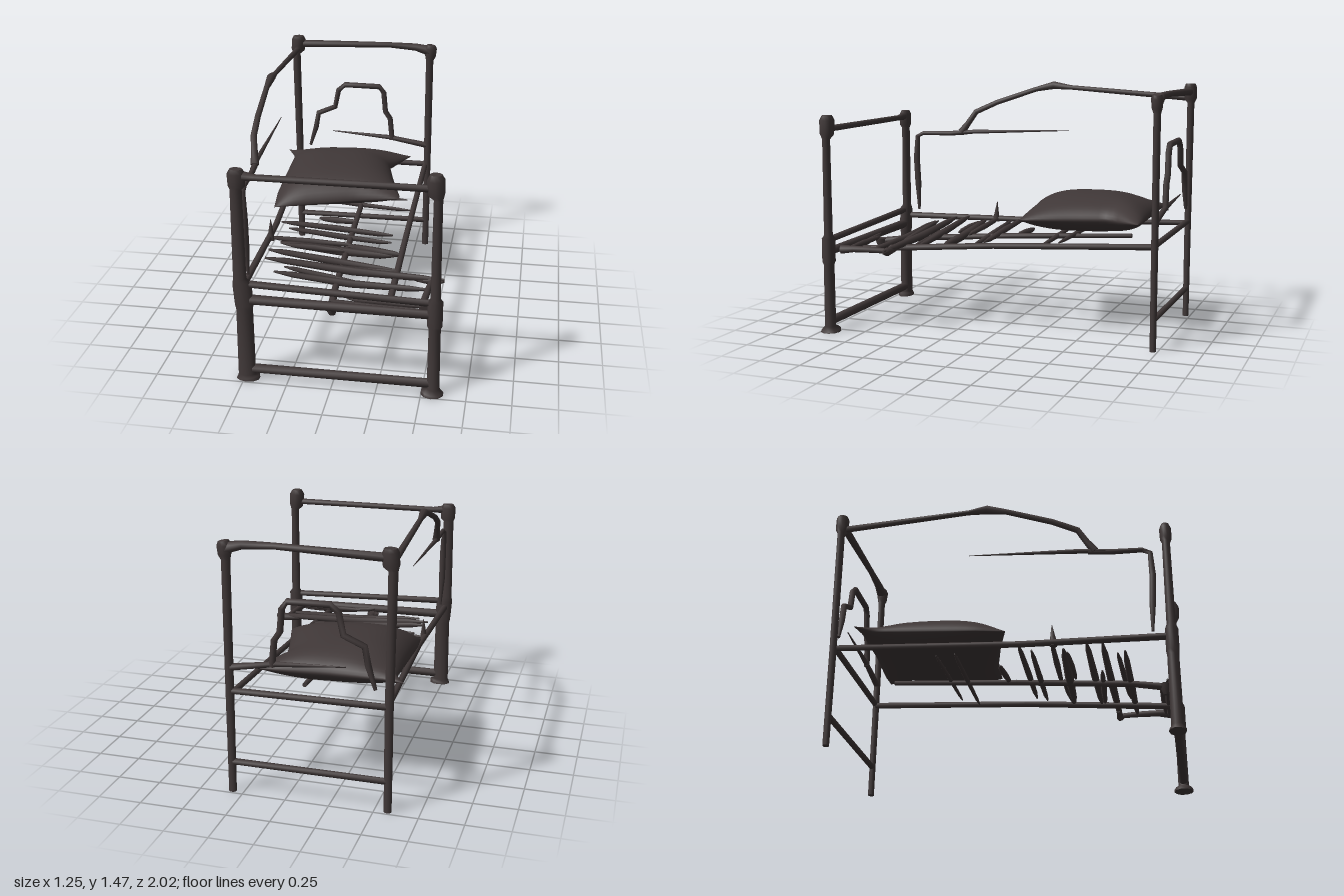
import * as THREE from 'three';
import { mergeVertices } from 'three/addons/utils/BufferGeometryUtils.js';

const iron = new THREE.MeshStandardMaterial({ color: 0x403838 });
iron.name = 'darkIron';
iron.side = THREE.DoubleSide;

const X = new THREE.Vector3(1, 0, 0), Y = new THREE.Vector3(0, 1, 0), Z = new THREE.Vector3(0, 0, 1);

// Bar swept through points [x, y, z, radius]; ref is a direction across the bar
function rod(group, name, pts, ref = Y, sides = 8) {
  const pos = [], idx = [], P = pts.map(p => new THREE.Vector3(p[0], p[1], p[2]));
  const ring = (i) => {
    const a = P[Math.max(i - 1, 0)], b = P[Math.min(i + 1, P.length - 1)];
    const t = b.clone().sub(a).normalize();
    const n = ref.clone().addScaledVector(t, -ref.dot(t)).normalize();
    const s = t.clone().cross(n);
    for (let j = 0; j < sides; j++) {
      const q = (j + 0.5) / sides * Math.PI * 2;
      const v = P[i].clone().addScaledVector(n, Math.cos(q) * pts[i][3]).addScaledVector(s, Math.sin(q) * pts[i][3]);
      pos.push(v.x, v.y, v.z);
    }
  };
  P.forEach((_, i) => ring(i));
  for (let i = 0; i < P.length - 1; i++) for (let j = 0; j < sides; j++) {
    const a = i * sides + j, b = i * sides + (j + 1) % sides;
    idx.push(a, b, a + sides, b, b + sides, a + sides);
  }
  // flat end caps
  for (const end of [0, P.length - 1]) {
    const base = pos.length / 3;
    ring(end);
    for (let j = 1; j < sides - 1; j++) {
      if (end) idx.push(base, base + j, base + j + 1);
      else idx.push(base, base + j + 1, base + j);
    }
  }
  const g = new THREE.BufferGeometry();
  g.setAttribute('position', new THREE.Float32BufferAttribute(pos, 3));
  g.setIndex(idx);
  g.computeVertexNormals();
  const m = new THREE.Mesh(g, iron);
  m.name = name;
  group.add(m);
  return m;
}

// Upright post from [y, radius, x offset] steps, with an oval section of the given depth ratio
function post(group, name, x, z, depth, steps) {
  const m = rod(group, name, steps.map(([y, r, dx = 0]) => [x + dx, y, 0, r]), X, 10);
  m.scale.z = depth;
  m.position.z = z;
}

// Height of the sagging bed base between its two side rails
function bedY(x, z) {
  const a = 0.56 + (0.9 - z) * 0.02, b = 0.47 + (0.9 - z) * 0.07;
  return THREE.MathUtils.lerp(a, b, THREE.MathUtils.clamp((x + 0.5) / 0.8, 0, 0.8));
}

// Piecewise-linear lookup through [key, value] pairs
function along(table, k) {
  for (let i = 1; i < table.length; i++) {
    const [k0, v0] = table[i - 1], [k1, v1] = table[i];
    if (k <= k1) return v0 + (v1 - v0) * (k - k0) / (k1 - k0);
  }
  return table[table.length - 1][1];
}

// Pillow: two bulging sheets joined at a pinched four-cornered outline
function pillow(group) {
  const left = [[0, -0.625], [0.12, -0.56], [0.8, -0.55], [1, -0.53]];
  const right = [[0, 0.22], [0.28, 0.1], [0.6, 0.155], [0.95, 0.228], [1, 0.225]];
  const back = [[0, -0.845], [0.12, -0.82], [0.5, -0.825], [0.85, -0.85], [1, -0.85]];
  const front = [[0, 0.02], [0.3, -0.045], [0.65, -0.105], [1, -0.13]];
  const N = 24, pos = [], idx = [];
  const swell = s => Math.pow(1 - Math.pow(Math.abs(s), 2.8), 0.62);
  for (const side of [1, -1]) {
    const base = pos.length / 3;
    for (let i = 0; i <= N; i++) for (let j = 0; j <= N; j++) {
      // rows and columns crowd towards the rim
      const s = Math.sin((j / N - 0.5) * Math.PI), t = Math.sin((i / N - 0.5) * Math.PI);
      const u = (s + 1) / 2, v = (t + 1) / 2;
      const x = THREE.MathUtils.lerp(along(left, v), along(right, v), u);
      const z = THREE.MathUtils.lerp(along(back, u), along(front, u), v);
      const rim = 0.7 - 0.055 * v * (1 - 0.8 * u);
      pos.push(x, THREE.MathUtils.lerp(rim, side > 0 ? 0.82 : 0.593, swell(s) * swell(t)), z);
    }
    for (let i = 0; i < N; i++) for (let j = 0; j < N; j++) {
      const a = base + i * (N + 1) + j, b = a + 1, c = a + N + 1, d = c + 1;
      if (side > 0) idx.push(a, c, b, b, c, d);
      else idx.push(a, b, c, b, d, c);
    }
  }
  const sheets = new THREE.BufferGeometry();
  sheets.setAttribute('position', new THREE.Float32BufferAttribute(pos, 3));
  sheets.setIndex(idx);
  const g = mergeVertices(sheets, 1e-5);
  g.computeVertexNormals();
  const m = new THREE.Mesh(g, iron);
  m.name = 'pillow';
  group.add(m);
}

export function createModel() {
  const bed = new THREE.Group();
  bed.name = 'brokenIronBed';

  // Foot end posts, with feet, collars and knobs
  post(bed, 'footPostRight', -0.485, 0.948, 0.7, [[0, 0.068, 0.005], [0.015, 0.066, 0.005], [0.03, 0.05],
    [0.44, 0.047], [0.47, 0.053], [0.6, 0.053, -0.01], [0.625, 0.037, -0.02], [1.15, 0.033, -0.02],
    [1.17, 0.047, -0.015], [1.24, 0.05, -0.015], [1.265, 0.035, -0.015]]);
  post(bed, 'footPostLeft', 0.565, 0.948, 0.9, [[0, 0.065, -0.005], [0.015, 0.063, -0.005], [0.035, 0.036],
    [0.41, 0.034], [0.43, 0.043], [0.57, 0.043], [0.59, 0.028], [1.16, 0.025],
    [1.19, 0.045, -0.01], [1.27, 0.049, -0.015], [1.3, 0.032, -0.015]]);

  // Head end posts
  post(bed, 'headPostRight', -0.575, -0.972, 0.85, [[0, 0.022], [0.6, 0.024], [1.35, 0.026, -0.01],
    [1.38, 0.045, 0], [1.45, 0.045, 0.005], [1.47, 0.035, 0.005]]);
  post(bed, 'headPostLeft', 0.315, -0.972, 0.85, [[0, 0.022], [0.6, 0.024], [1.34, 0.025],
    [1.37, 0.036, 0.005], [1.42, 0.042, 0.005], [1.445, 0.03, 0.01]]);

  // Foot end rails
  rod(bed, 'footTopRail', [[-0.5, 1.23, 0.948, 0.03], [-0.4, 1.222, 0.948, 0.018], [0.56, 1.22, 0.948, 0.019]]);
  rod(bed, 'footUpperRail', [[-0.5, 0.595, 0.948, 0.02], [0.56, 0.56, 0.948, 0.019]]);
  rod(bed, 'footMiddleRail', [[-0.5, 0.5, 0.948, 0.028], [0.56, 0.49, 0.948, 0.024]]);
  rod(bed, 'footBottomRail', [[-0.48, 0.065, 0.948, 0.026], [0.56, 0.065, 0.948, 0.026]]);

  // Head end rails
  rod(bed, 'headTopRail', [[-0.57, 1.42, -0.972, 0.024], [0.05, 1.435, -0.972, 0.018],
    [0.22, 1.428, -0.972, 0.024], [0.32, 1.405, -0.972, 0.034]]);
  rod(bed, 'headMiddleRail', [[-0.57, 0.61, -0.972, 0.018], [0.315, 0.605, -0.972, 0.018]]);
  rod(bed, 'headBottomRail', [[-0.57, 0.18, -0.972, 0.018], [0.315, 0.182, -0.972, 0.018]]);
  rod(bed, 'headBrokenRail', [[-0.34, 0.81, -0.972, 0.003], [0.05, 0.785, -0.972, 0.015], [0.32, 0.74, -0.972, 0.02]]);

  // Bent wire loop in the headboard
  rod(bed, 'headBentLoop', [[-0.5, 0.7], [-0.46, 0.83], [-0.44, 0.935], [-0.325, 0.985], [-0.3, 1.105],
    [-0.255, 1.145], [-0.02, 1.142], [0.01, 1.1], [0.022, 0.97], [0.055, 0.92], [0.07, 0.77]]
    .map(([x, y], i) => [x, y, -0.972, i ? 0.018 : 0.01]), Z);

  // Bowed side hoop, splintered and snapped over to the foot end
  rod(bed, 'sideHoop', [[-0.575, 1.38, -0.97, 0.019], [-0.555, 1.435, -0.2, 0.015], [-0.55, 1.447, -0.09, 0.026],
    [-0.55, 1.42, 0.03, 0.016], [-0.54, 1.33, 0.3, 0.017], [-0.53, 1.265, 0.445, 0.018], [-0.515, 1.19, 0.495, 0.019],
    [-0.505, 1.13, 0.54, 0.025]], X);
  rod(bed, 'sideHoopEnd', [[-0.505, 1.13, 0.5, 0.016], [-0.5, 1.12, 0.62, 0.016], [-0.495, 1.118, 0.81, 0.014],
    [-0.495, 1.095, 0.855, 0.016], [-0.49, 0.95, 0.862, 0.02], [-0.49, 0.78, 0.853, 0.02], [-0.485, 0.6, 0.845, 0.008]], X);
  rod(bed, 'sideSplinter', [[-0.505, 1.125, 0.6, 0.013], [-0.51, 1.135, 0.45, 0.014], [-0.52, 1.16, -0.2, 0.002]], X);

  // Side rails and central bar
  rod(bed, 'sideRailRight', [[-0.56, 0.6, -0.97, 0.017], [-0.5, 0.57, 0.1, 0.018], [-0.5, 0.555, 0.94, 0.02]]);
  rod(bed, 'sideRailLeft', [[0.3, 0.595, -0.97, 0.018], [0.3, 0.54, 0, 0.018], [0.3, 0.465, 0.9, 0.02]]);
  rod(bed, 'centreBar', [[-0.04, 0.59, -0.75, 0.014], [-0.03, 0.545, 0, 0.017], [-0.02, 0.49, 0.7, 0.019],
    [-0.01, 0.46, 0.9, 0.022]]);
  rod(bed, 'centreBarStub', [[-0.01, 0.48, 0.89, 0.04], [-0.008, 0.45, 0.89, 0.034], [-0.005, 0.415, 0.89, 0.018]], X);

  // Broken slats: [start x, end x, start z, end z, radius]
  const slats = [
    [-0.4, 0.25, -0.41, -0.39, 0.014], [-0.4, 0.28, -0.3, -0.285, 0.015], [-0.26, -0.02, -0.06, -0.04, 0.02],
    [-0.47, 0.22, 0.085, 0.09, 0.019], [-0.41, 0.22, 0.15, 0.155, 0.018], [-0.5, 0.02, 0.28, 0.27, 0.018],
    [-0.02, 0.3, 0.29, 0.315, 0.024], [-0.42, 0.26, 0.335, 0.32, 0.026], [-0.38, -0.03, 0.35, 0.36, 0.019],
    [-0.46, 0.3, 0.47, 0.485, 0.022], [-0.16, 0.3, 0.53, 0.505, 0.018], [-0.46, 0.58, 0.56, 0.58, 0.024],
    [-0.33, 0.2, 0.635, 0.67, 0.017], [-0.38, 0.5, 0.68, 0.69, 0.022], [0.07, 0.5, 0.86, 0.87, 0.017],
    [-0.02, 0.5, 0.9, 0.89, 0.019],
  ];
  slats.forEach(([x0, x1, z0, z1, r], i) => {
    const pts = [0, 0.12, 0.5, 0.88, 1].map((k, j) => {
      const x = x0 + (x1 - x0) * k, z = z0 + (z1 - z0) * k;
      return [x, bedY(x, z) + 0.01 * Math.sin(i * 2.3 + k * 2), z, r * [0.25, 0.75, 1, 0.75, 0.3][j]];
    });
    rod(bed, 'slat', pts, Y, 6);
  });

  // Loose splinters: outer strip, its flared tip, and an upright spike
  rod(bed, 'looseStrip', [[0.51, 0.505, 0.58, 0.015], [0.5, 0.505, 0.68, 0.018], [0.49, 0.5, 0.82, 0.02], [0.5, 0.495, 0.9, 0.028]]);
  rod(bed, 'looseStripTip', [[0.42, 0.505, 0.575, 0.012], [0.53, 0.505, 0.58, 0.026], [0.58, 0.505, 0.58, 0.005]]);
  rod(bed, 'spike', [[-0.49, 0.55, 0.29, 0.024], [-0.49, 0.6, 0.285, 0.016], [-0.49, 0.68, 0.28, 0.002]], X, 6);

  pillow(bed);
  return bed;
}
